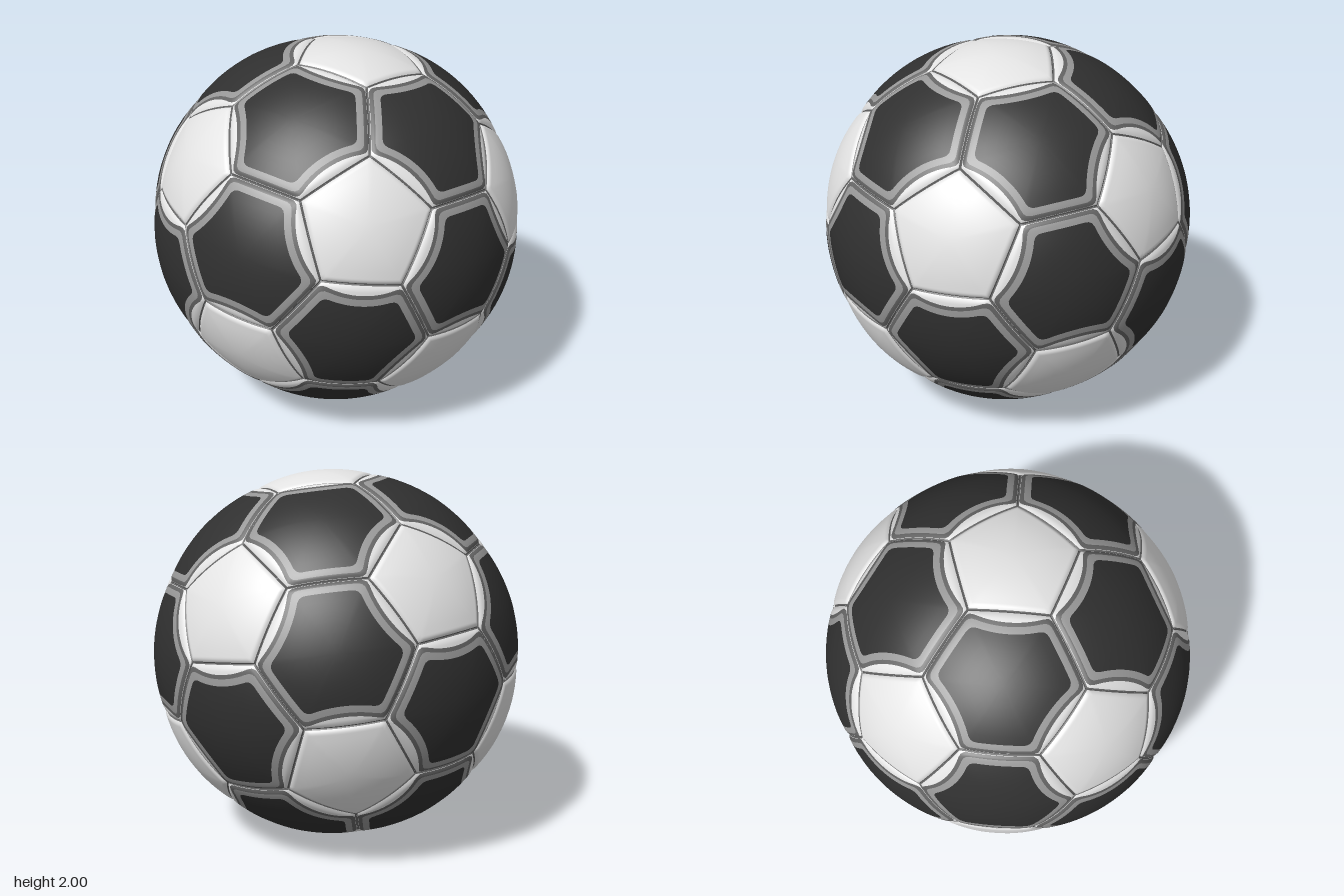
import * as THREE from 'three';

const EDGE = 0.4035;      // panel edge length on a unit ball
const SAMPLES = 120;      // points around each panel (fits 5 and 6 sides)

const mat = (name, color) => {
  const m = new THREE.MeshStandardMaterial({ color });
  m.name = name;
  return m;
};

// Distance to the nearest straight side, 0 at the side and 1 at the centre
function sideDistance(x, y, sides) {
  let d = Infinity;
  for (let i = 0; i < sides; i++) {
    const a = (i / sides) * Math.PI * 2;
    d = Math.min(d, 1 - x * Math.cos(a) - y * Math.sin(a));
  }
  return Math.max(d, 0);
}

// Painted outline field of a hexagon: straight along three sides,
// bulging inward as an arc along the other three, blended at the corners
function paintField(x, y) {
  const sag = 0.14, R = (1 / 3 + sag * sag) / (2 * sag), k = 0.1;
  let f = Infinity;
  for (let i = 0; i < 6; i++) {
    const a = (i * Math.PI) / 3, c = Math.cos(a), s = Math.sin(a);
    const m = 1 - sag + R;
    const d = i % 2 ? 1 - x * c - y * s : Math.hypot(x - m * c, y - m * s) - R;
    if (f === Infinity) { f = d; continue; }
    const h = Math.max(k - Math.abs(f - d), 0) / k;
    f = Math.min(f, d) - (h * h * k) / 4;
  }
  return f;
}

// Radius along an angle at which the paint field drops to a level
function contour(angle, level) {
  let lo = 0, hi = 1.16;
  for (let i = 0; i < 30; i++) {
    const r = (lo + hi) / 2;
    if (paintField(r * Math.cos(angle), r * Math.sin(angle)) > level) lo = r;
    else hi = r;
  }
  return lo;
}

// Padded panel: bands run from the centre outward, each {radius(angle, edge), steps, material}
function panelGeometry(sides, bands) {
  const inradius = EDGE / (2 * Math.tan(Math.PI / sides));
  const circum = EDGE / (2 * Math.sin(Math.PI / sides));
  const height = Math.sqrt(1 - circum * circum);
  const pos = [0, 0, 1], index = [];
  const geo = new THREE.BufferGeometry();
  const v = new THREE.Vector3();
  const at = (ring, j) => (ring === 0 ? 0 : 1 + (ring - 1) * SAMPLES + (j % SAMPLES));
  const step = (Math.PI * 2) / sides;
  const limits = [];
  for (let j = 0; j < SAMPLES; j++) {
    const a = (j / SAMPLES) * Math.PI * 2;
    const edge = 1 / Math.cos(a - Math.round(a / step) * step);
    limits.push([0, ...bands.map((b) => Math.min(b.radius(a, edge), edge))]);
  }
  let ring = 0;
  bands.forEach((band, b) => {
    const start = index.length;
    for (let s = 1; s <= band.steps; s++) {
      ring++;
      for (let j = 0; j < SAMPLES; j++) {
        const a = (j / SAMPLES) * Math.PI * 2;
        const r = THREE.MathUtils.lerp(limits[j][b], limits[j][b + 1], s / band.steps);
        const x = r * Math.cos(a), y = r * Math.sin(a);
        const d = sideDistance(x, y, sides);
        const groove = Math.max(0, 1 - d / 0.1);
        const radius = 1 - 0.01 * (1 - d) ** 2 - 0.014 * groove * groove;
        v.set(x * inradius, y * inradius, height).setLength(radius);
        pos.push(v.x, v.y, v.z);
        index.push(at(ring - 1, j), at(ring, j), at(ring, j + 1));
        if (ring > 1) index.push(at(ring - 1, j), at(ring, j + 1), at(ring - 1, j + 1));
      }
    }
    geo.addGroup(start, index.length - start, band.material);
  });
  geo.setAttribute('position', new THREE.Float32BufferAttribute(pos, 3));
  geo.setIndex(index);
  geo.computeVertexNormals();
  return geo;
}

export function createModel() {
  const ball = new THREE.Group();
  ball.name = 'ball';
  const materials = [
    mat('white', 0xe4e4e4),
    mat('black', 0x303030),
    mat('lightGrey', 0x989898),
    mat('darkGrey', 0x646464),
  ];

  const seamStart = (a, edge) => edge * 0.98;
  const rim = (a, edge) => edge;
  const pentagon = panelGeometry(5, [
    { radius: (a, e) => e * 0.88, steps: 7, material: 0 },
    { radius: seamStart, steps: 4, material: 0 },
    { radius: rim, steps: 1, material: 3 },
  ]);
  const hexagon = panelGeometry(6, [
    { radius: (a) => contour(a, 0.185), steps: 6, material: 1 },
    { radius: (a) => contour(a, 0.085), steps: 2, material: 2 },
    { radius: (a, e) => Math.min(contour(a, 0.025), e * 0.975), steps: 2, material: 3 },
    { radius: seamStart, steps: 3, material: 0 },
    { radius: rim, steps: 1, material: 3 },
  ]);

  // Twelve pentagon centres: two poles and two staggered rings, on a tilted axis
  const pole = new THREE.Vector3(0.109, 0.991, -0.073).normalize();
  const u = new THREE.Vector3(-0.143, 0.535, 0.833);
  u.addScaledVector(pole, -u.dot(pole)).normalize();
  const w = new THREE.Vector3().crossVectors(pole, u);
  const centres = [pole.clone(), pole.clone().negate()];
  for (let i = 0; i < 5; i++) {
    const a = (i / 5) * Math.PI * 2;
    const p = pole.clone().multiplyScalar(Math.sqrt(0.2))
      .addScaledVector(u, Math.sqrt(0.8) * Math.cos(a))
      .addScaledVector(w, Math.sqrt(0.8) * Math.sin(a));
    centres.push(p, p.clone().negate());
  }
  const near = (a, b) => a !== b && a.dot(b) > 0.4;

  // Place a panel facing outward, with its first side turned toward a direction
  function place(name, geometry, out, toward) {
    const z = out.clone().normalize();
    const x = toward.clone().addScaledVector(z, -toward.dot(z)).normalize();
    const y = new THREE.Vector3().crossVectors(z, x);
    const mesh = new THREE.Mesh(geometry, materials);
    mesh.name = name;
    mesh.quaternion.setFromRotationMatrix(new THREE.Matrix4().makeBasis(x, y, z));
    ball.add(mesh);
  }

  centres.forEach((c, i) => {
    const neighbour = centres.find((o) => near(c, o));
    place('pentagonPanel', pentagon, c, neighbour.clone().negate());
    // One hexagon between every three neighbouring pentagons
    for (let j = i + 1; j < 12; j++) {
      for (let k = j + 1; k < 12; k++) {
        const p = centres[j], q = centres[k];
        if (near(c, p) && near(c, q) && near(p, q)) {
          place('hexagonPanel', hexagon, c.clone().add(p).add(q), c);
        }
      }
    }
  });

  ball.position.y = 1;
  const model = new THREE.Group();
  model.name = 'footballModel';
  model.add(ball);
  return model;
}
